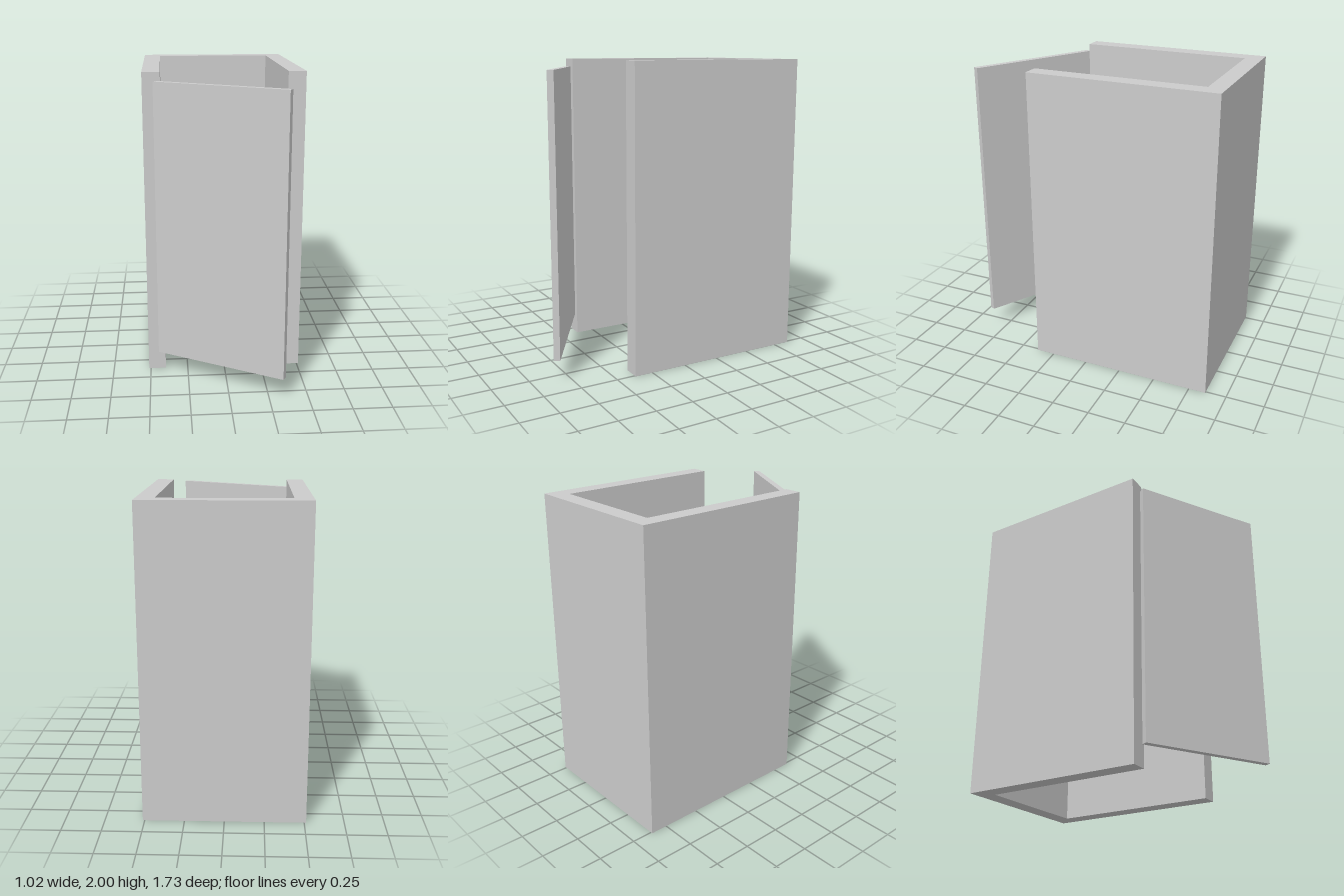
import * as THREE from 'three';

const material = new THREE.MeshStandardMaterial({ color: 0xcccccc, flatShading: true });

export function createModel() {
  const model = new THREE.Group();
  const height = 2, outer = 0.512, inner = 0.399;
  const back = -0.863, backInner = -0.75, front = 0.374;

  // U-shaped walls: floor plan (x, -z) extruded upwards, open at front, top and bottom
  const plan = new THREE.Shape([
    [-outer, front], [-inner, front], [-inner, backInner], [inner, backInner],
    [inner, front], [outer, front], [outer, back], [-outer, back],
  ].map(([x, z]) => new THREE.Vector2(x, -z)));
  const wallGeometry = new THREE.ExtrudeGeometry(plan, { depth: height, bevelEnabled: false });
  wallGeometry.rotateX(-Math.PI / 2);
  const walls = new THREE.Mesh(wallGeometry, material);
  walls.name = 'walls';
  model.add(walls);

  // Door standing ajar, hinged at the front edge of the right wall
  const bottom = 0.14, top = 1.947;
  const door = new THREE.Mesh(new THREE.BoxGeometry(0.898, top - bottom, 0.041), material);
  door.name = 'door';
  door.position.set(-0.045, (bottom + top) / 2, 0.621);
  door.rotation.y = -Math.PI / 6;
  model.add(door);

  return model;
}
